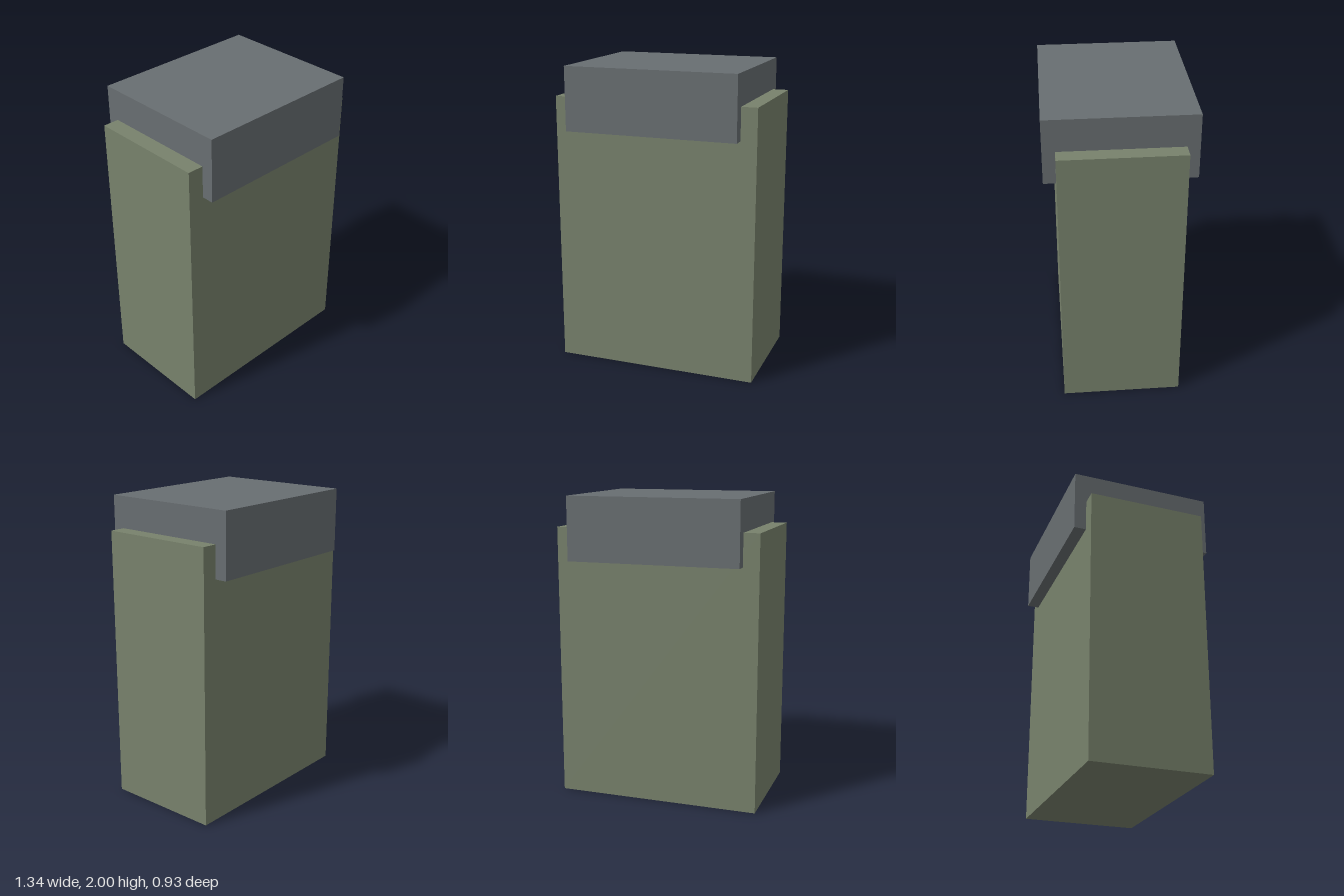
import * as THREE from 'three';

// A box standing with its underside at height y
function block(name, width, height, depth, y, color) {
  const mesh = new THREE.Mesh(
    new THREE.BoxGeometry(width, height, depth),
    new THREE.MeshStandardMaterial({ color })
  );
  mesh.name = name;
  mesh.position.y = y + height / 2;
  return mesh;
}

export function createModel() {
  const model = new THREE.Group();
  model.name = 'cappedBlock';
  // Tall body, with a narrower but deeper cap sunk over its top
  model.add(block('body', 1.342, 1.795, 0.773, 0, 0x78826c));
  model.add(block('cap', 1.132, 0.415, 0.93, 1.585, 0x686e71));
  return model;
}
